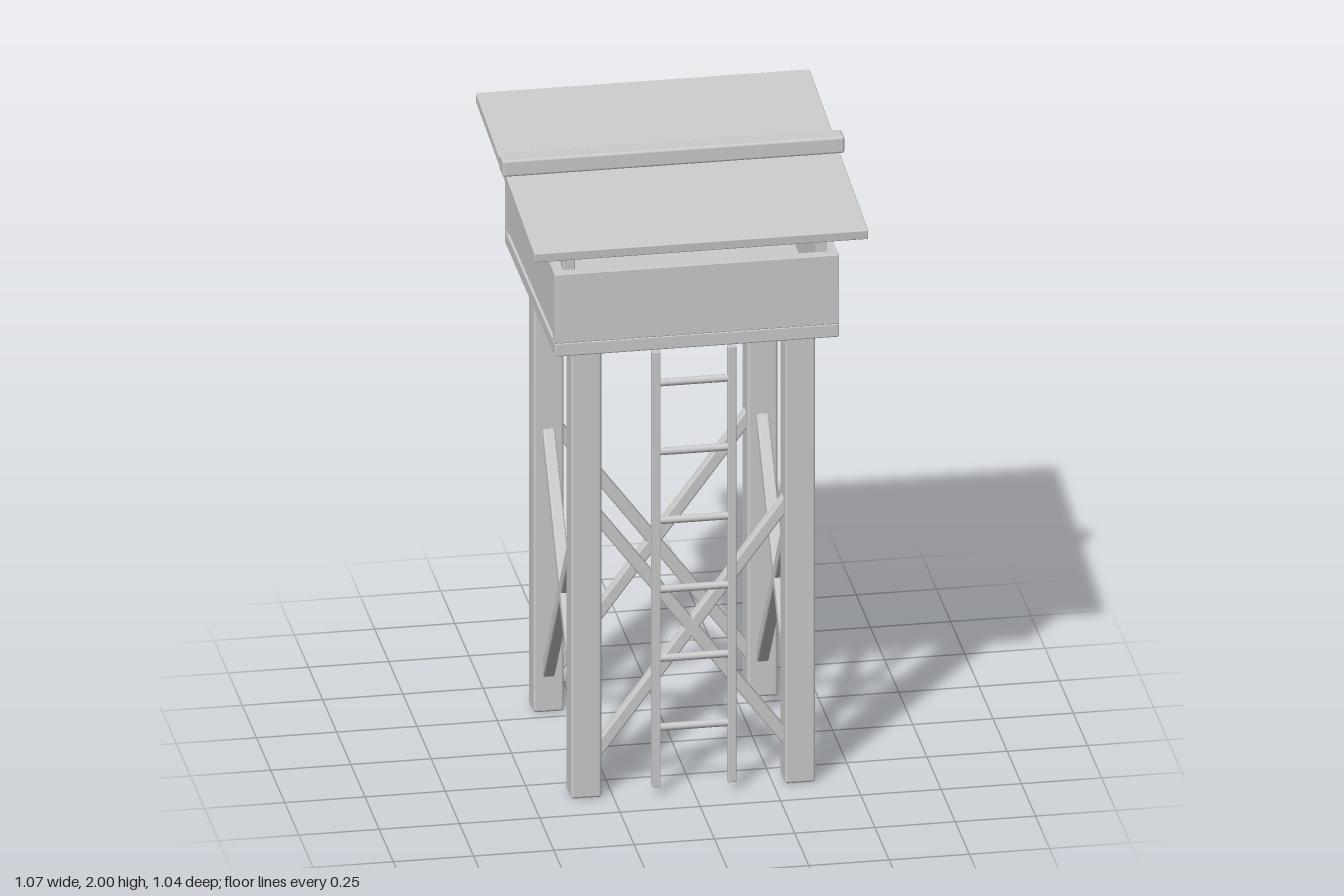
import * as THREE from 'three';
import { RoundedBoxGeometry } from 'three/addons/geometries/RoundedBoxGeometry.js';

export function createModel() {
  const model = new THREE.Group();
  model.name = 'watchtower';
  const grey = new THREE.MeshStandardMaterial({ color: 0xcccccc });
  grey.name = 'light grey';

  // Beam with softly rounded edges, centred on (x, y, z)
  function beam(name, w, h, d, x, y, z, parent = model, r = 0.006) {
    const mesh = new THREE.Mesh(new RoundedBoxGeometry(w, h, d, 2, r), grey);
    mesh.name = name;
    mesh.position.set(x, y, z);
    parent.add(mesh);
    return mesh;
  }

  // Legs and roof posts at the four corners
  for (const sx of [-1, 1]) {
    for (const sz of [-1, 1]) {
      beam('leg', 0.095, 1.515, 0.095, sx * 0.333, 0.7575, sz * 0.333, model, 0.009);
      beam('roofPost', 0.037, 0.35, 0.037, sx * 0.393, 1.732, sz * 0.393, model, 0.003);
    }
  }

  // Crossed braces between the legs on all four sides
  const rise = 0.415, run = 0.309;
  for (let i = 0; i < 4; i++) {
    const side = new THREE.Group();
    side.name = 'crossBrace';
    side.rotation.y = i * Math.PI / 2;
    for (const s of [-1, 1]) {
      const brace = beam('brace', 2 * Math.hypot(rise, run), 0.038, 0.038, 0, 0.535, 0.333, side);
      brace.rotation.z = s * Math.atan2(rise, run);
    }
    model.add(side);
  }

  // Platform and parapet; the side walls sit slightly above the floor
  beam('platform', 0.886, 0.045, 0.886, 0, 1.5375, 0, model, 0.005);
  for (const s of [-1, 1]) {
    beam('endWall', 0.886, 0.232, 0.035, 0, 1.675, s * 0.4255, model, 0.003);
    beam('sideWall', 0.035, 0.216, 0.884, s * 0.4245, 1.682, 0, model, 0.003);
  }

  // Sloping roof with a bar across the middle
  const roof = beam('roof', 1.04, 0.032, 1.04, 0, 1.93, 0, model, 0.004);
  roof.rotation.x = 0.087;
  beam('roofBar', 1.065, 0.055, 0.063, 0, 1.9725, 0, model, 0.008);

  // Ladder on the front
  const ladder = new THREE.Group();
  ladder.name = 'ladder';
  model.add(ladder);
  for (const s of [-1, 1]) {
    beam('ladderRail', 0.026, 1.46, 0.026, s * 0.118, 0.757, 0.384, ladder, 0.003);
  }
  const rungGeometry = new THREE.CylinderGeometry(0.012, 0.012, 0.23, 12).rotateZ(Math.PI / 2);
  for (let i = 0; i < 6; i++) {
    const rung = new THREE.Mesh(rungGeometry, grey);
    rung.name = 'rung';
    rung.position.set(0, 0.224 + i * 0.231, 0.384);
    ladder.add(rung);
  }
  return model;
}
